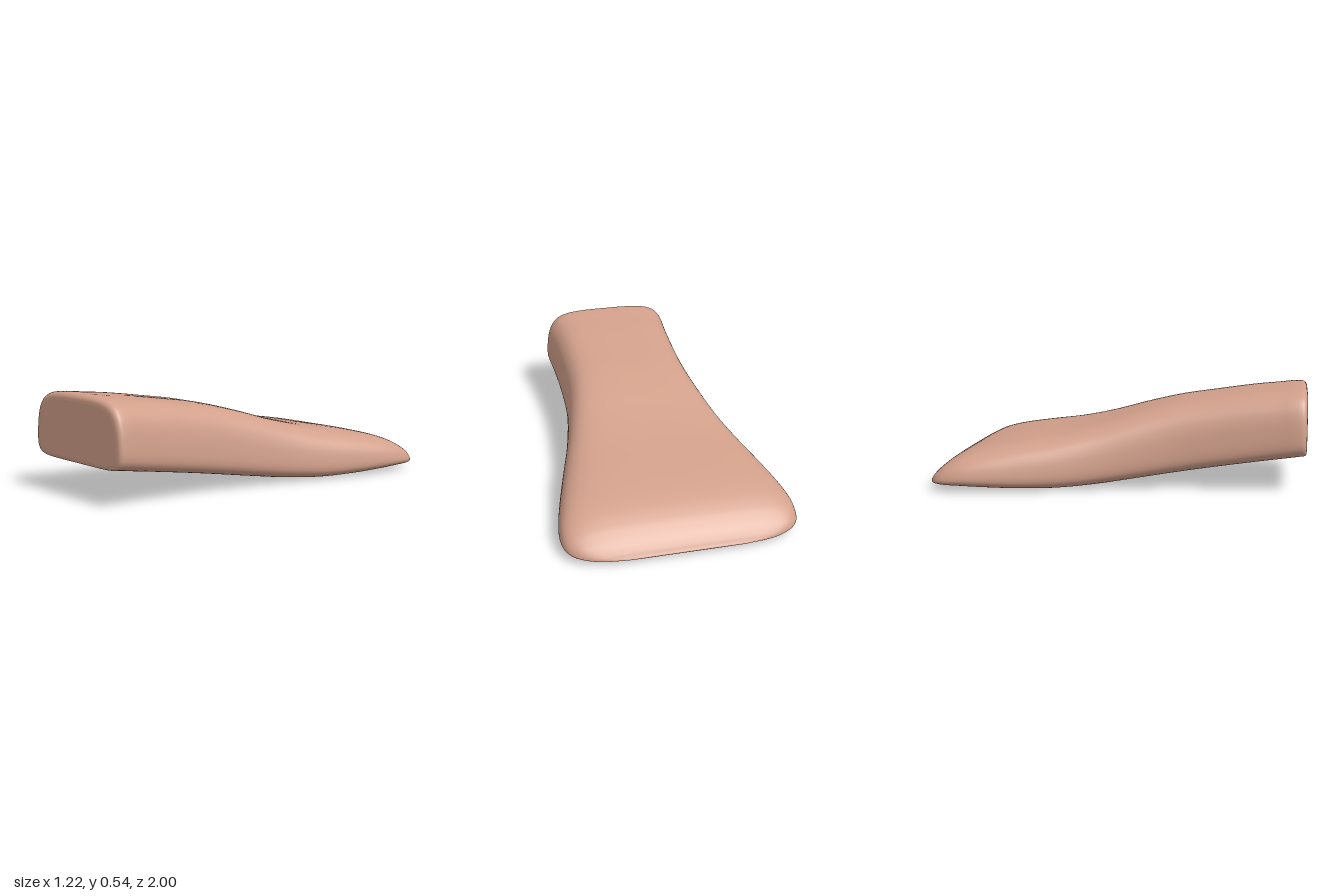
import * as THREE from 'three';

// Stations from front to back: z, half width, bottom y, top y
const STATIONS = [
  [1, 0.335, 0.215, 0.50], [0.997, 0.362, 0.198, 0.522], [0.985, 0.376, 0.191, 0.536],
  [0.965, 0.38, 0.189, 0.541], [0.92, 0.379, 0.182, 0.539], [0.84, 0.373, 0.169, 0.53],
  [0.7, 0.367, 0.147, 0.515], [0.5, 0.366, 0.115, 0.485], [0.3, 0.376, 0.082, 0.452],
  [0.1, 0.408, 0.05, 0.402], [-0.1, 0.453, 0.022, 0.343], [-0.3, 0.508, 0.006, 0.296],
  [-0.5, 0.558, 0.007, 0.263], [-0.67, 0.594, 0.016, 0.232], [-0.79, 0.609, 0.024, 0.2],
  [-0.87, 0.602, 0.027, 0.162], [-0.92, 0.578, 0.029, 0.126], [-0.955, 0.535, 0.03, 0.094],
  [-0.98, 0.472, 0.03, 0.064], [-0.993, 0.4, 0.03, 0.044], [-1, 0.3, 0.029, 0.034],
];

// Right half of the rounded section: share of half width, share of height
const HALF = [
  [0, 0], [0.4, 0], [0.72, 0.008], [0.89, 0.04], [0.97, 0.11], [1, 0.22], [0.995, 0.4],
  [0.968, 0.6], [0.91, 0.77], [0.8, 0.9], [0.62, 0.97], [0.32, 0.998], [0, 1],
];

function sectionRing(samples) {
  const half = new THREE.SplineCurve(HALF.map(([u, v]) => new THREE.Vector2(u, v))).getPoints(samples);
  const mirrored = half.slice(1, -1).reverse().map((p) => new THREE.Vector2(-p.x, p.y));
  return [...half, ...mirrored];
}

function loftGeometry(steps, samples) {
  const spline = (pick) => new THREE.CatmullRomCurve3(STATIONS.map(pick), false, 'catmullrom', 0.5);
  const heights = spline(([z, , b, t]) => new THREE.Vector3(b, t, z));
  const widths = spline(([, w]) => new THREE.Vector3(w, 0, 0));
  const ring = sectionRing(samples);
  const n = ring.length;
  const positions = [];
  const index = [];

  for (let i = 0; i <= steps; i++) {
    const { x: bottom, y: top, z } = heights.getPoint(i / steps);
    const w = widths.getPoint(i / steps).x;
    for (const p of ring) positions.push(p.x * w, bottom + p.y * (top - bottom), z);
  }
  for (let i = 0; i < steps; i++) {
    for (let j = 0; j < n; j++) {
      const k = (j + 1) % n;
      const a = i * n + j, b = i * n + k, c = (i + 1) * n + k, d = (i + 1) * n + j;
      index.push(a, d, c, a, c, b);
    }
  }

  // Close the front face and the thin rear edge
  const front = positions.length / 3;
  positions.push(0, 0.36, 1, 0, 0.031, -1);
  for (let j = 0; j < n; j++) {
    const k = (j + 1) % n;
    index.push(front, j, k, front + 1, steps * n + k, steps * n + j);
  }

  const geometry = new THREE.BufferGeometry();
  geometry.setAttribute('position', new THREE.Float32BufferAttribute(positions, 3));
  geometry.setIndex(index);
  geometry.computeVertexNormals();
  return geometry;
}

export function createModel() {
  const group = new THREE.Group();
  group.name = 'flaredPad';
  const clay = new THREE.MeshStandardMaterial({ color: 0xd2a08b });
  clay.name = 'warm clay pink';
  const body = new THREE.Mesh(loftGeometry(100, 48), clay);
  body.name = 'body';
  group.add(body);
  return group;
}
